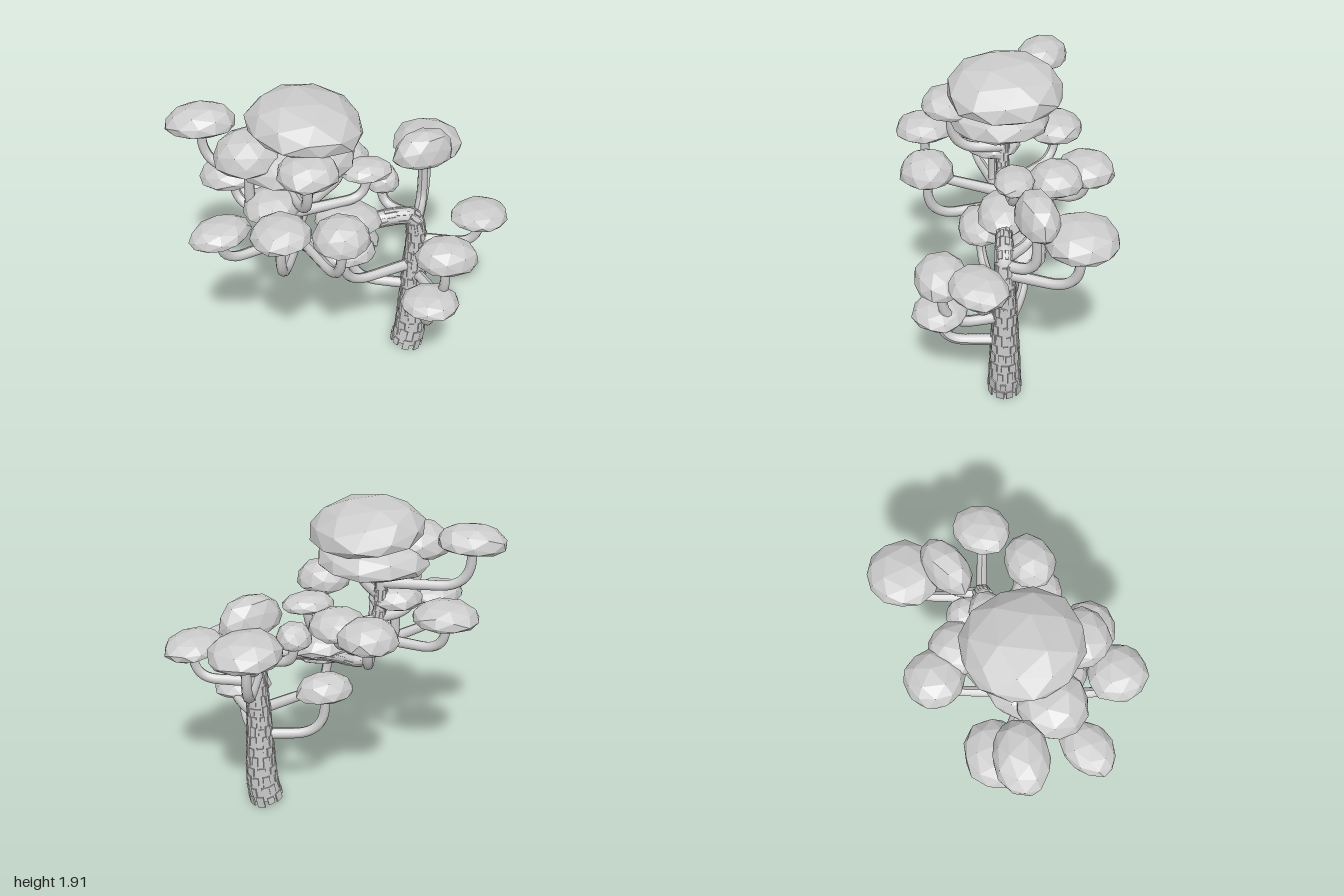
import * as THREE from 'three';
import { mergeVertices } from 'three/addons/utils/BufferGeometryUtils.js';

const V = (x, y, z) => new THREE.Vector3(x, y, z);

function seeded(seed) {
  let s = seed * 7919 + 17;
  return () => (s = (s * 16807) % 2147483647) / 2147483647;
}

// Tube whose radius follows radiusAt(t) along the curve
function taperedTube(curve, segments, sides, radiusAt) {
  const geo = new THREE.TubeGeometry(curve, segments, 1, sides, false);
  const p = geo.attributes.position;
  const v = new THREE.Vector3();
  for (let i = 0; i <= segments; i++) {
    const c = curve.getPointAt(i / segments);
    const r = radiusAt(i / segments);
    for (let j = 0; j <= sides; j++) {
      const k = i * (sides + 1) + j;
      v.fromBufferAttribute(p, k).sub(c).multiplyScalar(r).add(c);
      p.setXYZ(k, v.x, v.y, v.z);
    }
  }
  geo.computeVertexNormals();
  return geo;
}

// Faceted pad: full dome above, shallow underside, widest low down
function padGeometry(rx, h, rz, seed) {
  const rand = seeded(seed);
  let geo = new THREE.IcosahedronGeometry(1, 1);
  geo.deleteAttribute('normal');
  geo.deleteAttribute('uv');
  geo = mergeVertices(geo, 1e-3);
  geo.rotateY(seed * 1.3);
  geo.rotateX(seed * 0.7);
  const p = geo.attributes.position;
  for (let i = 0; i < p.count; i++) {
    const k = 0.96 + rand() * 0.08;
    const y = p.getY(i);
    const full = k * Math.pow(Math.hypot(p.getX(i), p.getZ(i)) + 0.001, -0.2);
    const rise = y * (y > 0 ? 0.74 : 0.28) - 0.23;
    p.setXYZ(i, p.getX(i) * rx * full, rise * h, p.getZ(i) * rz * full);
  }
  geo.computeVertexNormals();
  return geo;
}

export function createModel() {
  const root = new THREE.Group();
  const leafMat = new THREE.MeshStandardMaterial({ color: 0xcccccc, flatShading: true });
  const woodMat = new THREE.MeshStandardMaterial({ color: 0xcccccc, side: THREE.DoubleSide });

  // Trunk: upright, bends sideways, dips, then rises as a stem under the crown
  const trunkCurve = new THREE.CatmullRomCurve3([
    [0.428, 0.045], [0.445, 0.13], [0.453, 0.3], [0.457, 0.6], [0.46, 0.9], [0.43, 1.0], [0.34, 1.02],
    [0.17, 1.0], [-0.02, 0.95], [-0.17, 0.89], [-0.24, 0.91], [-0.27, 1.03], [-0.31, 1.25], [-0.31, 1.58],
  ].map(([x, y]) => V(x, y, 0)));
  const trunkRadius = (t) => (t < 0.42 ? 0.1 - 0.115 * t : 0.0517 - 0.035 * (t - 0.42));
  const trunk = new THREE.Mesh(taperedTube(trunkCurve, 90, 14, trunkRadius), woodMat);
  trunk.name = 'trunk';
  root.add(trunk);

  // Bark: staggered thin plates wrapped round the trunk
  const bark = new THREE.Group();
  bark.name = 'bark';
  root.add(bark);
  const rand = seeded(5);
  const rows = 34;
  const frames = trunkCurve.computeFrenetFrames(rows, false);
  const plateGeo = new THREE.BoxGeometry(1, 1, 1);
  for (let i = 0; i <= rows; i++) {
    const t = i / rows;
    const r = trunkRadius(t);
    const n = t < 0.42 ? 9 : 6;
    for (let j = 0; j < n; j++) {
      const a = ((j + (i % 2) * 0.5 + rand() * 0.4) / n) * Math.PI * 2;
      const out = frames.normals[i].clone().multiplyScalar(Math.cos(a))
        .addScaledVector(frames.binormals[i], Math.sin(a));
      const up = frames.tangents[i];
      const side = new THREE.Vector3().crossVectors(up, out);
      const plate = new THREE.Mesh(plateGeo, leafMat);
      plate.name = 'barkPlate';
      plate.position.copy(trunkCurve.getPointAt(t)).addScaledVector(out, r * 0.98);
      plate.quaternion.setFromRotationMatrix(new THREE.Matrix4().makeBasis(side, up, out));
      plate.scale.set(r * 0.45 * (0.7 + rand() * 0.5), 0.065 * (0.7 + rand() * 0.5), 0.01);
      bark.add(plate);
    }
  }

  let seed = 0;
  function addPad(name, centre, rx, h, rz, tilt, yaw = 0) {
    const pad = new THREE.Mesh(padGeometry(rx, h, rz, ++seed), leafMat);
    pad.name = name;
    pad.position.copy(centre);
    pad.rotation.set(0, yaw, tilt);
    root.add(pad);
  }

  // Branch: runs out level from the trunk, then turns up into its pad
  function addBranch(start, tip) {
    const elbow = V(tip.x, start.y + 0.01, tip.z);
    const reach = start.distanceTo(elbow);
    const rise = elbow.distanceTo(tip);
    const bend = Math.min(0.19, reach * 0.6, rise * 0.75);
    const before = elbow.clone().lerp(start, bend / reach);
    const after = elbow.clone().lerp(tip, bend / rise);
    const path = new THREE.CurvePath();
    path.add(new THREE.LineCurve3(start, before));
    path.add(new THREE.QuadraticBezierCurve3(before, elbow, after));
    path.add(new THREE.LineCurve3(after, tip));
    const branch = new THREE.Mesh(taperedTube(path, 24, 8, (t) => 0.036 - 0.008 * t), woodMat);
    branch.name = 'branch';
    root.add(branch);
  }

  // Each limb: pad x, y, z, half width, height, branch start height, then half depth and yaw if not round
  function addLimbs(limbs, startX) {
    for (const [x, y, z, r, h, startY, depth = r, yaw = 0] of limbs) {
      addPad('foliagePad', V(x, y, z), r, h, depth, -0.1 * x, yaw);
      addBranch(V(startX(startY), startY, 0), V(x, y - h * 0.25, z));
    }
  }

  // Crown layers and the pad resting on the bough
  addPad('crown', V(-0.21, 1.78, -0.01), 0.34, 0.25, 0.35, -0.1);
  addPad('lowerCrown', V(-0.27, 1.57, 0.02), 0.35, 0.21, 0.31, 0.05);
  addPad('boughPad', V(0.04, 1.06, 0), 0.21, 0.14, 0.16, -0.1);

  // Limbs of the leaning stem
  addLimbs([
    [-0.78, 1.7, -0.25, 0.21, 0.16, 1.38, 0.155, -0.25],
    [-0.55, 1.63, 0.03, 0.2, 0.21, 1.15],
    [-0.26, 1.64, 0.31, 0.18, 0.16, 1.3],
    [-0.45, 1.37, 0.48, 0.175, 0.14, 1.0],
    [-0.1, 1.28, 0.455, 0.165, 0.19, 0.92],
    [-0.75, 1.2, 0.18, 0.185, 0.12, 0.97, 0.14, 0.35],
    [-0.6, 1.28, -0.33, 0.205, 0.15, 1.03, 0.18],
    [-0.43, 1.27, 0.06, 0.17, 0.15, 0.92],
    [-0.06, 1.3, -0.49, 0.18, 0.17, 1.05],
    [0.06, 1.31, -0.31, 0.17, 0.16, 1.13],
    [0.16, 1.35, -0.06, 0.16, 0.1, 1.14, 0.12],
  ], (y) => -0.24 - 0.17 * (y - 0.91));

  // Limbs of the upright trunk
  addLimbs([
    [0.28, 1.2, -0.17, 0.11, 0.15, 1.0],
    [-0.02, 0.93, 0.14, 0.2, 0.14, 0.65, 0.14],
    [0.08, 0.81, -0.13, 0.18, 0.16, 0.48, 0.13],
    [0.54, 1.37, -0.18, 0.2, 0.23, 0.96, 0.125, 0.3],
    [0.63, 1.28, -0.42, 0.22, 0.17, 0.9],
    [0.81, 1.08, 0.145, 0.19, 0.12, 0.84, 0.165, 0.5],
    [0.55, 0.97, 0.36, 0.19, 0.18, 0.59, 0.16],
    [0.46, 0.65, 0.38, 0.18, 0.12, 0.41, 0.165],
  ], () => 0.455);

  return root;
}
